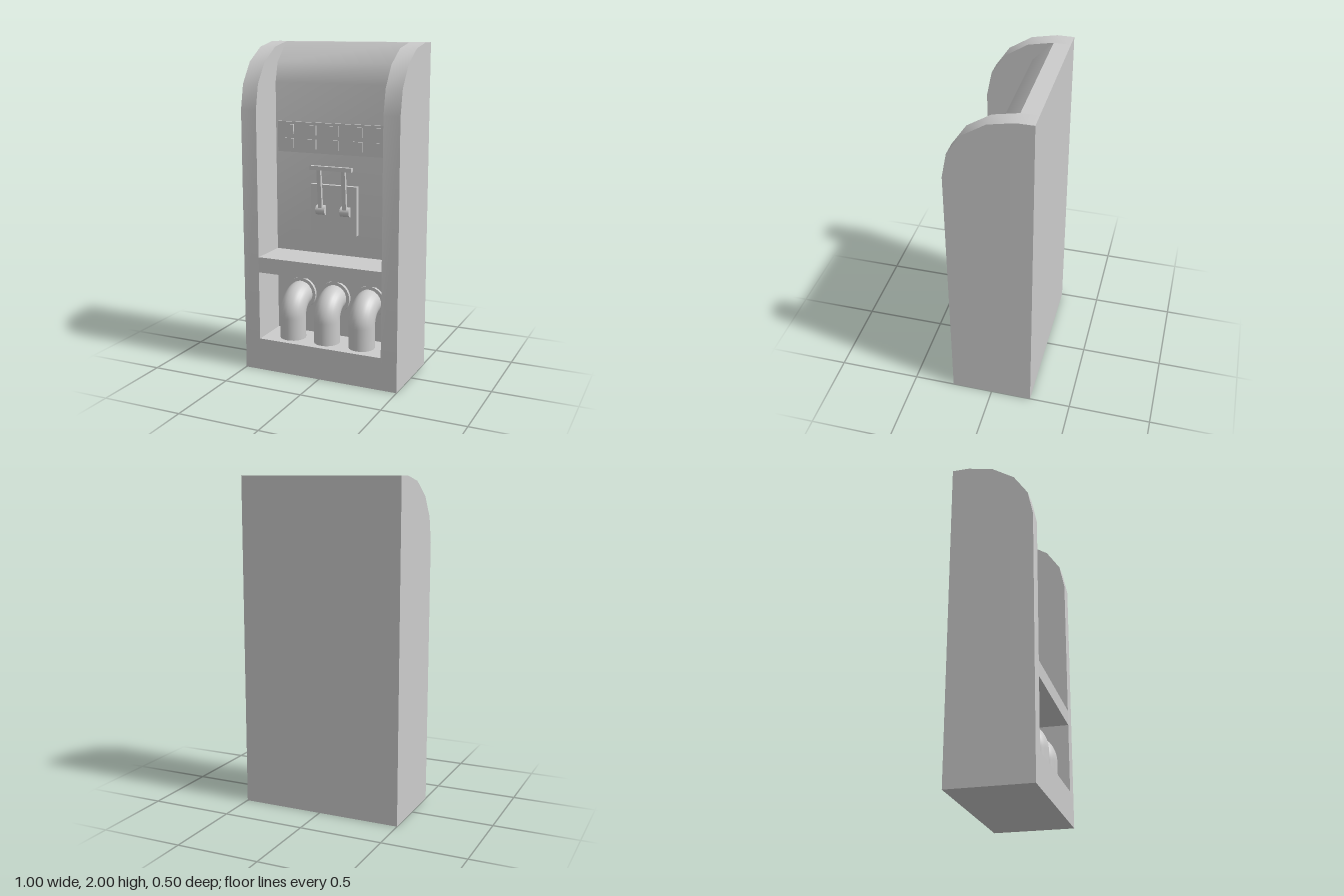
import * as THREE from 'three';
import { toCreasedNormals } from 'three/addons/utils/BufferGeometryUtils.js';

const material = new THREE.MeshStandardMaterial({ color: 0xcccccc });

export function createModel() {
  const model = new THREE.Group();
  model.name = 'controlCabinet';

  const add = (name, geometry, x = 0, y = 0, z = 0) => {
    const mesh = new THREE.Mesh(geometry, material);
    mesh.name = name;
    mesh.position.set(x, y, z);
    model.add(mesh);
    return mesh;
  };
  const box = (name, w, h, d, x, y, z) => add(name, new THREE.BoxGeometry(w, h, d), x, y, z);

  // Extrudes a [z, y] side profile across x, centred on x = 0
  const profile = (points, width) => {
    const shape = new THREE.Shape(points.map(([z, y]) => new THREE.Vector2(z, y)));
    const geometry = new THREE.ExtrudeGeometry(shape, { depth: width, bevelEnabled: false });
    geometry.translate(0, 0, -width / 2).rotateY(-Math.PI / 2);
    return toCreasedNormals(geometry, THREE.MathUtils.degToRad(40));
  };

  // Side walls with the rounded top front edge
  const sideProfile = [
    [-0.25, 0], [0.25, 0], [0.25, 1.61], [0.22, 1.76],
    [0.135, 1.885], [0, 1.97], [-0.15, 2], [-0.25, 2],
  ];
  add('leftWall', profile(sideProfile, 0.1), 0.45);
  add('rightWall', profile(sideProfile, 0.1), -0.45);

  // Middle body: base, pipe recess, shelf, control recess and curved hood
  add('cabinetBody', profile([
    [-0.25, 0], [0.25, 0], [0.25, 0.2], [0, 0.2], [0, 0.625], [0.25, 0.625], [0.25, 0.72],
    [0, 0.72], [0, 1.76], [-0.03, 1.88], [-0.15, 2], [-0.25, 2],
  ], 0.8));

  // Button panel
  box('buttonPanel', 0.76, 0.185, 0.015, 0, 1.433, 0.0075);
  for (const y of [1.395, 1.48]) {
    for (let i = -2; i <= 2; i++) box('button', 0.06, 0.06, 0.012, i * 0.15, y, 0.02);
  }

  // Twin-arm lever on its plate
  box('leverPlate', 0.3, 0.3, 0.03, 0, 1.005, 0.015);
  for (const x of [-0.08, 0.08]) {
    add('leverPivot', new THREE.CylinderGeometry(0.03, 0.03, 0.06, 20).rotateZ(Math.PI / 2), x, 1, 0.03);
    const arm = box('leverArm', 0.025, 0.25, 0.02, x, 1.13, 0.056);
    arm.rotation.x = 0.09;
  }
  box('leverHandle', 0.27, 0.025, 0.025, 0, 1.262, 0.067);

  // Elbow pipes from the recess back down to its floor
  const path = new THREE.CurvePath();
  const v = (y, z) => new THREE.Vector3(0, y, z);
  path.add(new THREE.LineCurve3(v(0.45, 0), v(0.45, 0.02)));
  path.add(new THREE.CubicBezierCurve3(v(0.45, 0.02), v(0.45, 0.08), v(0.4, 0.13), v(0.34, 0.13)));
  path.add(new THREE.LineCurve3(v(0.34, 0.13), v(0.2, 0.13)));
  for (const x of [-0.23, 0, 0.23]) {
    add('pipe', new THREE.TubeGeometry(path, 32, 0.08, 24), x);
    add('pipeFlange', new THREE.CylinderGeometry(0.1, 0.1, 0.02, 32).rotateX(Math.PI / 2), x, 0.45, 0.01);
  }

  return model;
}
